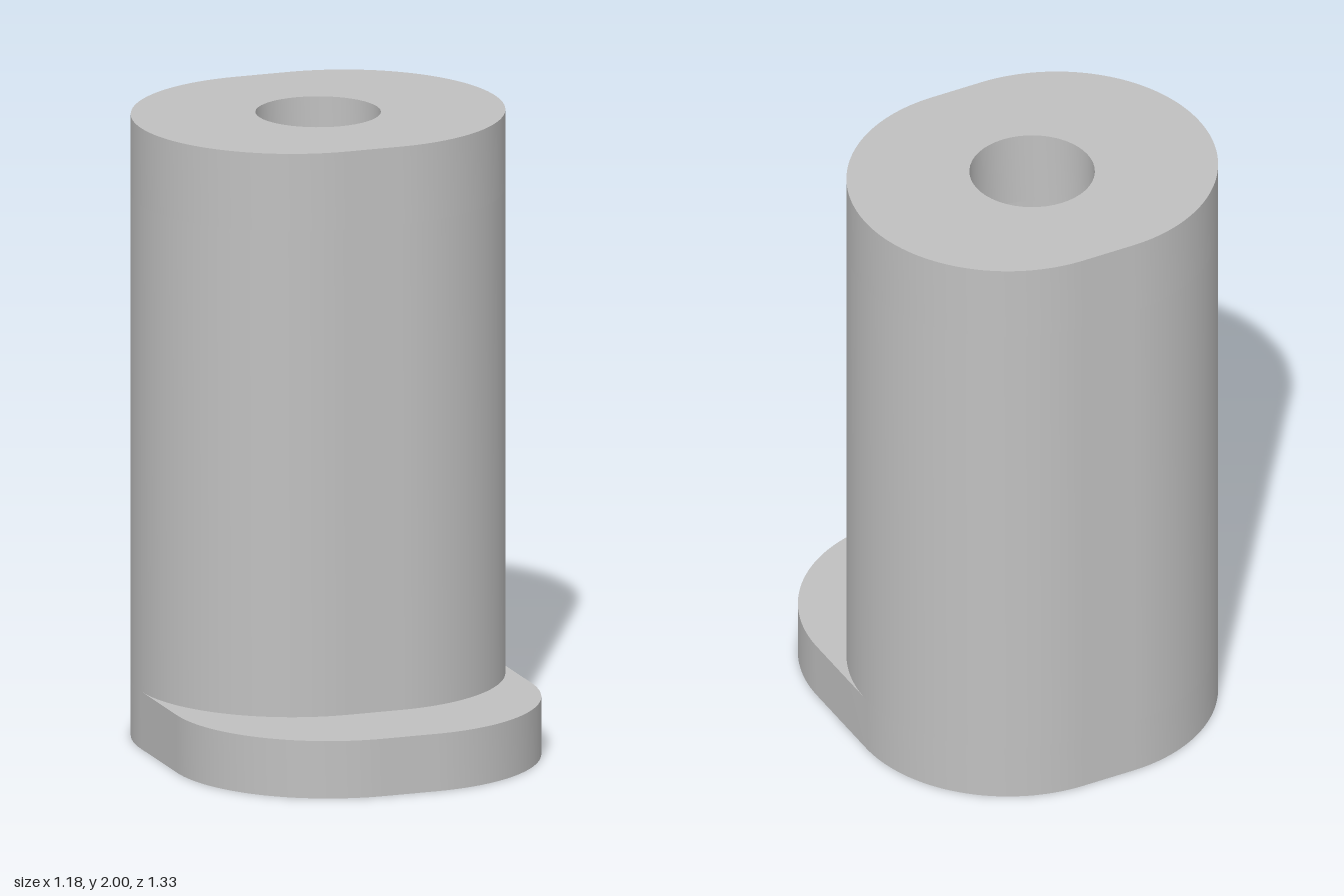
import * as THREE from 'three';
import { toCreasedNormals } from 'three/addons/utils/BufferGeometryUtils.js';

const HALF_WIDTH = 0.59, CORNER = 0.503, AXIS_Z = -0.16, BACK = -0.665;

// Rounded rectangle in plan, from the back edge to the given front edge
function outline(front) {
  const s = new THREE.Shape();
  const x = HALF_WIDTH - CORNER;
  const top = -BACK - CORNER, bottom = -front + CORNER;
  const q = Math.PI / 2;
  s.absarc(x, top, CORNER, 0, q);
  s.absarc(-x, top, CORNER, q, 2 * q);
  s.absarc(-x, bottom, CORNER, 2 * q, 3 * q);
  s.absarc(x, bottom, CORNER, 3 * q, 4 * q);
  s.closePath();
  return s;
}

function bore(radius) {
  return new THREE.Path().absarc(0, -AXIS_Z, radius, 0, Math.PI * 2, true);
}

function squarePit(x, z, h) {
  return new THREE.Path([[-h, -h], [-h, h], [h, h], [h, -h], [-h, -h]]
    .map(([a, b]) => new THREE.Vector2(x + a, -z + b)));
}

function slab(name, front, holes, y0, y1, material) {
  const shape = outline(front);
  shape.holes.push(...holes);
  const geo = new THREE.ExtrudeGeometry(shape, { depth: y1 - y0, bevelEnabled: false, curveSegments: 24 });
  geo.rotateX(-Math.PI / 2).translate(0, y0, 0);
  const mesh = new THREE.Mesh(toCreasedNormals(geo, 0.6), material);
  mesh.name = name;
  return mesh;
}

export function createModel() {
  const grey = new THREE.MeshStandardMaterial({ color: 0xc0c0c0 });
  grey.name = 'light grey';
  const group = new THREE.Group();
  group.name = 'flangedSleeve';
  group.add(
    // Foot with a wide bore and two tiny pits underneath
    slab('baseFlange', 0.665, [bore(0.366), squarePit(0.39, 0.15, 0.014), squarePit(-0.5, 0.07, 0.007)], 0, 0.185, grey),
    // Hollow upright body
    slab('column', 0.343, [bore(0.366)], 0.185, 1.75, grey),
    // Closed upper end with the narrow opening
    slab('topWall', 0.343, [bore(0.196)], 1.75, 2, grey),
  );
  return group;
}
